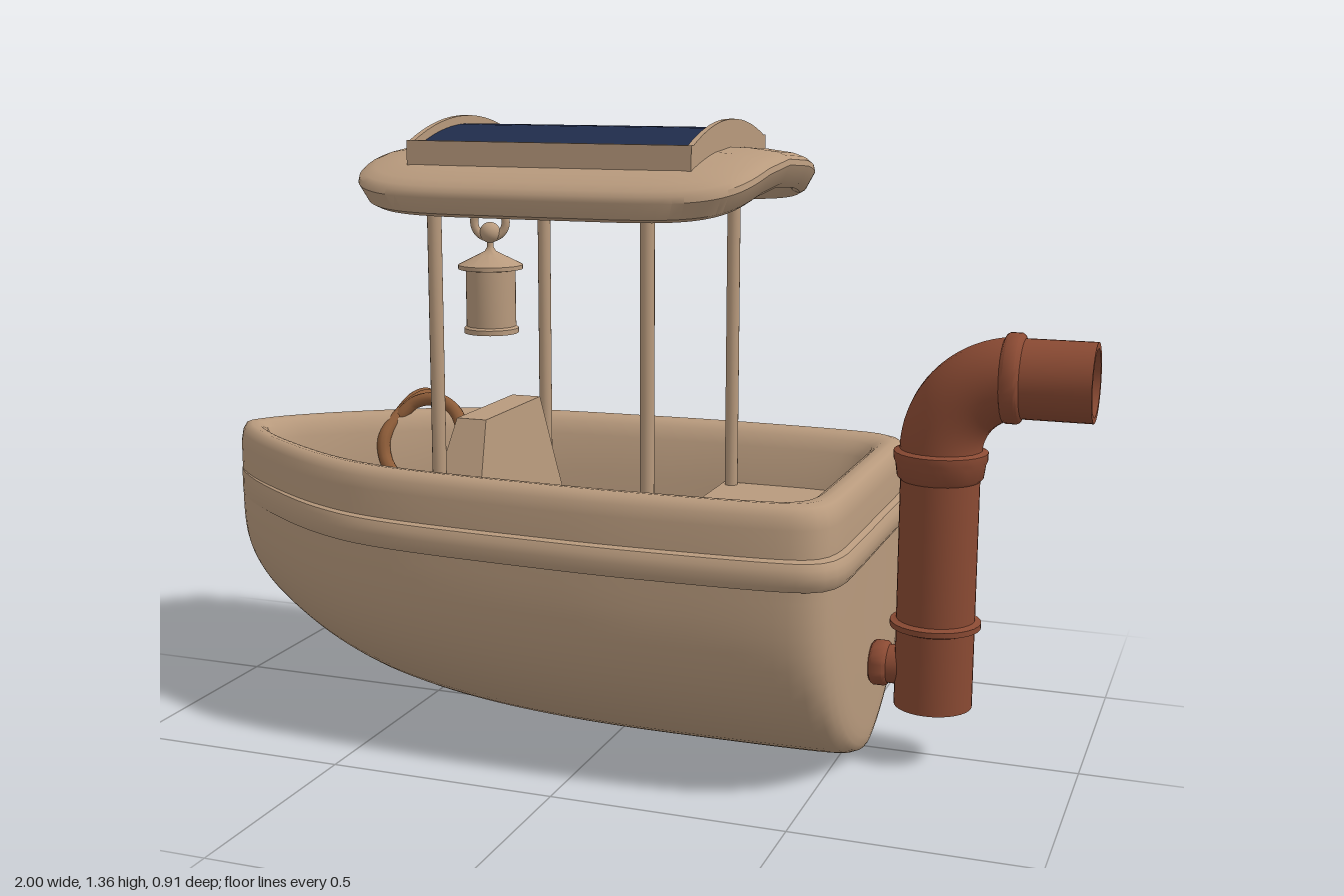
import * as THREE from 'three';
import { toCreasedNormals } from 'three/addons/utils/BufferGeometryUtils.js';
import { RoundedBoxGeometry } from 'three/addons/geometries/RoundedBoxGeometry.js';

const V = (x, y, z) => new THREE.Vector3(x, y, z);
const CZ = 0.02; // centreline of the boat

// Skin between closed rings of points; rings run from the bottom up on the outside
function loft(rings, crease = 0.7) {
  const n = rings[0].length, pos = [], idx = [];
  rings.forEach(r => r.forEach(p => pos.push(p.x, p.y, p.z)));
  for (let i = 0; i < rings.length - 1; i++) {
    for (let j = 0; j < n; j++) {
      const a = i * n + j, b = i * n + (j + 1) % n;
      idx.push(a, b, b + n, a, b + n, a + n);
    }
  }
  const g = new THREE.BufferGeometry();
  g.setAttribute('position', new THREE.Float32BufferAttribute(pos, 3));
  g.setIndex(idx);
  return toCreasedNormals(g, crease);
}

// Plan outline of the hull: bow, +z side, transom, -z side
function hullOutline() {
  const pts = [[-1, 0], [-0.95, 0.075], [-0.82, 0.188], [-0.61, 0.32], [-0.4, 0.383], [0, 0.412], [0.25, 0.413],
    [0.44, 0.403], [0.52, 0.38], [0.55, 0.32], [0.555, 0.2], [0.555, 0]].map(p => new THREE.Vector2(...p));
  const half = new THREE.SplineCurve(pts).getSpacedPoints(70);
  const other = half.slice(1, -1).reverse().map(p => new THREE.Vector2(p.x, -p.y));
  return half.concat(other);
}

export function createModel() {
  const model = new THREE.Group();
  const mat = (name, color) => {
    const m = new THREE.MeshStandardMaterial({ color });
    m.name = name;
    return m;
  };
  const tan = mat('tan', 0xb89a7d), clay = mat('clay brown', 0x8a4a33);
  const navy = mat('navy', 0x202c4b), ropeBrown = mat('rope brown', 0x8d5c38);

  const add = (name, geo, material, x = 0, y = 0, z = 0, parent = model) => {
    const m = new THREE.Mesh(geo, material);
    m.name = name;
    m.position.set(x, y, z);
    parent.add(m);
    return m;
  };
  const box = (w, h, d, sx = 1, sy = 1, sz = 1) => new THREE.BoxGeometry(w, h, d, sx, sy, sz);
  const cyl = (r, h, seg = 32) => new THREE.CylinderGeometry(r, r, h, seg);
  const lathe = (pts, seg = 32) =>
    toCreasedNormals(new THREE.LatheGeometry(pts.map(p => new THREE.Vector2(...p)), seg), 0.7);
  const collar = (r, h) => lathe([[r - 0.015, -h / 2], [r - 0.003, -h / 2 + 0.006], [r, -h / 4], [r, h / 4],
    [r - 0.003, h / 2 - 0.006], [r - 0.015, h / 2]]);

  // Lower hull: each outline point drops to the keel along a full, round curve
  const outline = hullOutline(), TOP = 0.48;
  const keel = x => {
    const t = Math.max(0, 1 - (x + 1) / 1.2);
    return 0.005 + 0.29 * t ** 3 + 0.08 * t ** 30;
  };
  const hullRings = [];
  for (let i = 20; i >= 0; i--) {
    const f = Math.sin(i / 20 * Math.PI / 2);
    hullRings.push(outline.map(p => {
      const round = p.x > 0.44 ? 1 - (1 - Math.min(1, Math.abs(p.y) / 0.4)) ** 2 : 1;
      return V(p.x, TOP - (TOP - keel(p.x)) * round * f, CZ + 1.025 * p.y * (1 - f ** 3) ** 0.7);
    }));
  }
  add('hull', loft(hullRings, 0.8), tan);

  // Bulwark with rounded top, sloping inner wall and floor; rings are [inset, height]
  const band = profile => loft(profile.map(([d, y]) => outline.map(p => {
    const dx = d < 0 && p.x < -0.22 ? 0 : d; // nothing stands out beyond the bow
    return V(-0.22 + (p.x + 0.22) * (1 - dx / 0.775), y, CZ + p.y * (1 - d / 0.413));
  })));
  add('bulwark', band([[0, 0.47], [0, 0.59], [0.005, 0.615], [0.015, 0.63], [0.03, 0.636], [0.052, 0.633],
    [0.07, 0.62], [0.083, 0.59], [0.105, 0.5], [0.118, 0.38], [0.413, 0.38]]), tan);
  add('rubRail', band([[0.005, 0.465], [-0.014, 0.47], [-0.021, 0.482], [-0.023, 0.5], [-0.021, 0.516],
    [-0.014, 0.528], [0.005, 0.533]]), tan);

  // Bow deck, stern bench and steering console
  const deck = new THREE.Shape([[-0.88, 0], [-0.76, 0.13], [-0.5, 0.28], [-0.5, -0.28], [-0.76, -0.13]]
    .map(p => new THREE.Vector2(...p)));
  add('bowDeck', new THREE.ExtrudeGeometry(deck, { depth: 0.11, bevelEnabled: false }).rotateX(Math.PI / 2),
    tan, 0, 0.49, CZ);
  add('sternBench', box(0.33, 0.13, 0.61), tan, 0.285, 0.44, CZ);
  const consoleGeo = box(1, 0.335, 1).toNonIndexed();
  const cp = consoleGeo.attributes.position;
  for (let i = 0; i < cp.count; i++) {
    const up = cp.getY(i) > 0;
    cp.setX(i, cp.getX(i) > 0 ? (up ? -0.285 : -0.26) : (up ? -0.355 : -0.42));
    cp.setZ(i, Math.sign(cp.getZ(i)) * (up ? 0.15 : 0.28));
  }
  consoleGeo.computeVertexNormals();
  add('console', consoleGeo, tan, 0, 0.543, CZ);

  // Canopy posts and cross bars
  for (const x of [-0.328, 0.143]) {
    for (const z of [0.315, -0.265]) add('canopyPost', cyl(0.015, 0.85, 16), tan, x, 0.795, z);
    add('canopyCrossBar', cyl(0.013, 0.58, 16).rotateX(Math.PI / 2), tan, x, 1.193, 0.025);
  }

  // Arched canopy shell with a dropped, slanting edge; rings are [scale, height]
  const canopyRings = [[0, 1.262], [0.45, 1.262], [0.86, 1.248], [0.9, 1.227], [0.93, 1.222], [0.96, 1.232],
    [1, 1.27], [0.995, 1.282], [0.975, 1.29], [0.93, 1.297], [0.8, 1.304], [0.4, 1.307], [0, 1.307]].map(([s, y]) => {
    const ring = [];
    for (let j = 0; j < 72; j++) {
      const a = j / 72 * Math.PI * 2, c = Math.cos(a), n = Math.sin(a);
      const x = -0.445 * s * Math.sign(c) * Math.abs(c) ** 0.36;
      const z = 0.35 * s * Math.sign(n) * Math.abs(n) ** 0.36;
      ring.push(V(x - 0.09, y - 0.5 * z * z, z + 0.025));
    }
    return ring;
  });
  add('canopy', loft(canopyRings, 0.6), tan);

  // Solar panel: arched frame and two halves
  const solar = new THREE.Group();
  solar.name = 'solarPanel';
  solar.position.set(-0.09, 0, 0.025);
  model.add(solar);
  const arch = (g, x, y, z) => {
    g.translate(x, y, z);
    const p = g.attributes.position;
    for (let i = 0; i < p.count; i++) p.setY(i, p.getY(i) - 0.72 * p.getZ(i) ** 2);
    return toCreasedNormals(g, 0.5);
  };
  for (const s of [-1, 1]) {
    add('panelEnd', arch(box(0.012, 0.08, 0.52, 1, 1, 14), s * 0.308, 1.323, 0), tan, 0, 0, 0, solar);
    add('panelSide', box(0.628, 0.062, 0.014), tan, 0, 1.289, s * 0.253, solar);
    add('solarCell', arch(box(0.604, 0.008, 0.244, 1, 1, 8), 0, 1.341, s * 0.1235), navy, 0, 0, 0, solar);
  }

  // Upright pipe with elbow and open outlet at the stern
  const PX = 0.69, PZ = 0.025, R = 0.083;
  add('pipe', cyl(R, 0.56), clay, PX, 0.41, PZ);
  add('pipeRing', collar(0.096, 0.024), clay, PX, 0.312, PZ);
  add('pipeCollar', lathe([[0.083, -0.035], [0.09, -0.028], [0.094, 0], [0.098, 0.01], [0.098, 0.026],
    [0.083, 0.032]]), clay, PX, 0.66, PZ);
  add('pipeElbow', new THREE.TorusGeometry(0.16, R + 0.003, 24, 24, Math.PI / 2).rotateZ(Math.PI / 2),
    clay, 0.85, 0.688, PZ);
  add('elbowCollar', collar(0.094, 0.045).rotateZ(-Math.PI / 2), clay, 0.835, 0.848, PZ);
  add('pipeOutlet', lathe([[R, 0], [R, 0.16], [0.07, 0.16], [0.07, 0.1]]).rotateZ(-Math.PI / 2),
    clay, 0.84, 0.848, PZ);
  add('outletLining', lathe([[0.07, 0.1], [0.064, 0.07], [0.045, 0.045], [0.022, 0.033], [0, 0.03]])
    .rotateZ(-Math.PI / 2), navy, 0.84, 0.848, PZ);
  add('pipeStub', cyl(0.042, 0.13, 24).rotateZ(Math.PI / 2), clay, 0.6, 0.21, PZ);
  add('stubCollar', collar(0.049, 0.045).rotateZ(Math.PI / 2), clay, 0.575, 0.21, PZ);

  // Lantern
  const lantern = new THREE.Group();
  lantern.name = 'lantern';
  lantern.position.set(-0.47, 0, -0.268);
  model.add(lantern);
  add('lanternBody', lathe([[0, 0.833], [0.066, 0.833], [0.066, 0.845], [0.06, 0.85], [0.06, 0.985], [0.078, 0.988],
    [0.078, 0.998], [0.03, 1.022], [0.014, 1.03], [0.008, 1.04], [0.008, 1.06], [0, 1.06]]), tan, 0, 0, 0, lantern);
  add('lanternKnob', new THREE.SphereGeometry(0.025, 20, 14), tan, 0, 1.075, 0, lantern);
  add('lanternRing', new THREE.TorusGeometry(0.038, 0.01, 12, 32), tan, 0, 1.1, 0, lantern).rotation.y = 0.3;

  // Mooring rope: over the side, one round loop inside the bow, end hanging outside
  const ropePath = [[-0.13, 0.475, -0.43], [-0.25, 0.43, -0.432], [-0.42, 0.385, -0.438], [-0.54, 0.46, -0.41],
    [-0.62, 0.6, -0.36], [-0.66, 0.66, -0.29]].map(p => V(...p));
  for (let i = 0; i <= 10; i++) {
    const a = Math.PI * (0.95 + i * 0.19);
    ropePath.push(V(-0.61 + 0.1 * Math.cos(a), 0.572 + 0.095 * Math.sin(a), -0.155 - 0.045 * Math.sin(a) - 0.003 * i));
  }
  ropePath.push(V(-0.69, 0.655, -0.29), V(-0.675, 0.65, -0.345), V(-0.655, 0.57, -0.385));
  add('rope', new THREE.TubeGeometry(new THREE.CatmullRomCurve3(ropePath), 160, 0.016, 10), ropeBrown);
  const ropeEnd = ropePath[ropePath.length - 1];
  add('ropeEnd', new THREE.SphereGeometry(0.016, 10, 8), ropeBrown, ropeEnd.x, ropeEnd.y, ropeEnd.z);
  add('ropeCleat', new RoundedBoxGeometry(0.15, 0.066, 0.045, 3, 0.02), tan, -0.08, 0.472, -0.426);

  return model;
}
